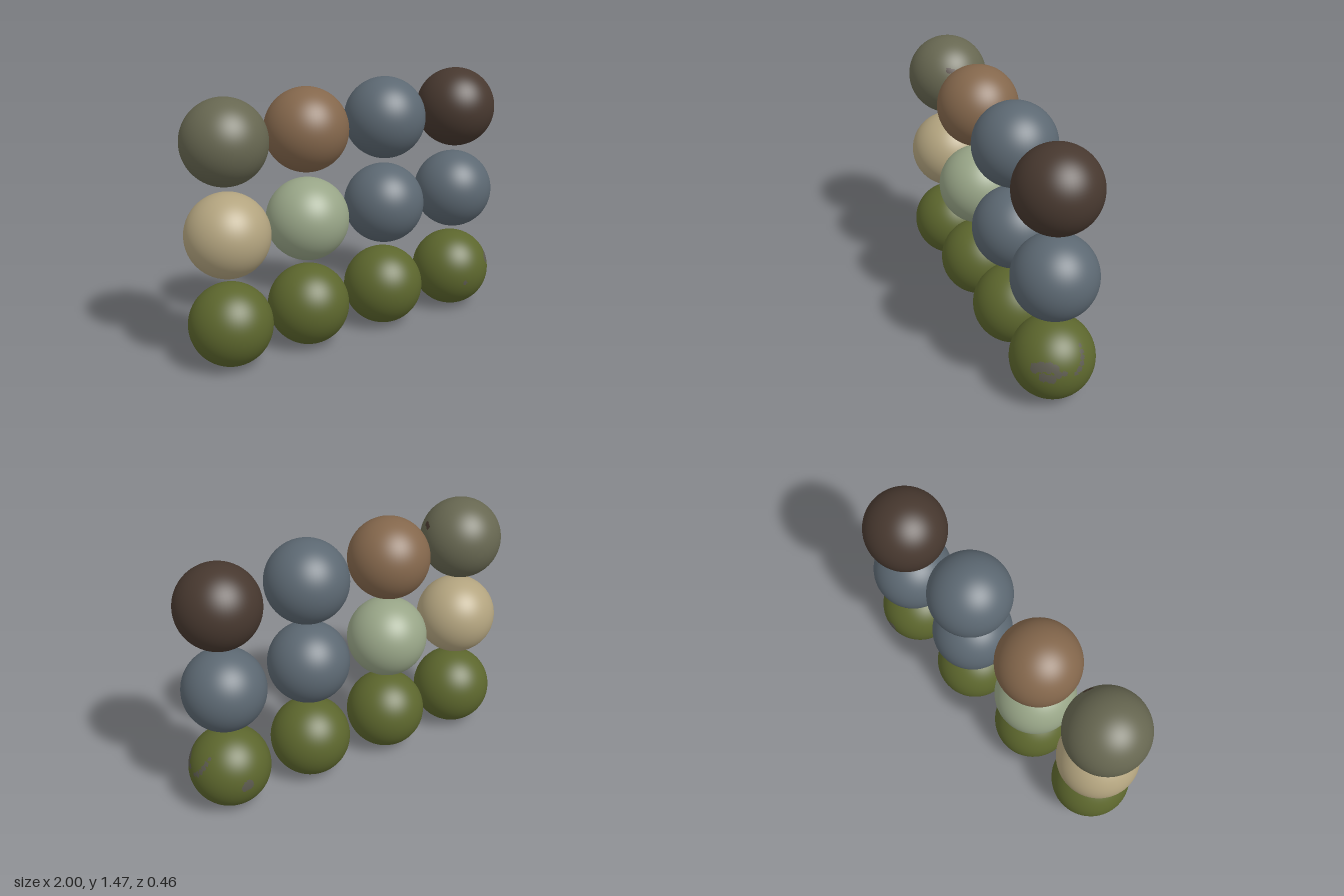
import * as THREE from 'three';

const R = 0.231;

function mat(name, color) {
  const m = new THREE.MeshStandardMaterial({ color });
  m.name = name;
  return m;
}

// Sphere whose faces are sorted into a base group and a blotch group.
// Each blotch is [x, y, z, radius], with the point pushed onto the surface.
function blotchedSphere(blotches) {
  const geo = new THREE.SphereGeometry(R, 160, 100);
  const spots = blotches.map(([x, y, z, r]) => ({ c: new THREE.Vector3(x, y, z).setLength(R), r }));
  const pos = geo.attributes.position;
  const index = geo.index.array;
  const sorted = [[], []];
  const mid = new THREE.Vector3();
  const v = new THREE.Vector3();
  for (let i = 0; i < index.length; i += 3) {
    mid.set(0, 0, 0);
    for (let k = 0; k < 3; k++) mid.add(v.fromBufferAttribute(pos, index[i + k]));
    mid.divideScalar(3);
    const inside = spots.some((s) => s.c.distanceTo(mid) < s.r);
    sorted[inside ? 1 : 0].push(index[i], index[i + 1], index[i + 2]);
  }
  geo.setIndex([...sorted[0], ...sorted[1]]);
  geo.clearGroups();
  geo.addGroup(0, sorted[0].length, 0);
  geo.addGroup(sorted[0].length, sorted[1].length, 1);
  return geo;
}

export function createModel() {
  const group = new THREE.Group();
  group.name = 'sphereGrid';

  const moss = mat('mossGreen', 0x5c662d);
  const stone = mat('stoneGrey', 0x5d5b50);
  const sand = mat('sand', 0xb3a47f);
  const sage = mat('sageGreen', 0x98a587);
  const slate = mat('slateBlue', 0x5c6872);
  const olive = mat('oliveGrey', 0x676751);
  const clay = mat('clayBrown', 0x84674c);
  const bark = mat('darkBark', 0x47382f);

  // Rows from bottom to top, columns from -x to +x
  const columns = [-0.769, -0.273, 0.25, 0.769];
  const rows = [
    { name: 'lower', y: 0.234, mats: [moss, moss, moss, moss] },
    { name: 'middle', y: 0.742, mats: [sand, sage, slate, slate] },
    { name: 'upper', y: 1.246, mats: [olive, clay, slate, bark] },
  ];

  // Stone showing through the moss on the last lower sphere
  const mossBlotches = [
    [0.14, 0.07, 0.165, 0.028], [0.16, 0.085, 0.14, 0.028],
    [0.18, 0.085, 0.105, 0.03], [0.195, 0.08, 0.08, 0.024],
    [0.18, 0.03, 0.135, 0.026], [0.2, 0.025, 0.1, 0.028],
    [0.215, 0.05, 0.065, 0.02], [0.22, 0.053, 0.035, 0.015],
    [0.15, 0.15, -0.08, 0.012], [0.17, 0.125, -0.08, 0.014],
    [0.185, 0.1, -0.076, 0.016], [0.2, 0.075, -0.068, 0.016],
    [0.21, 0.052, -0.05, 0.016], [0.22, 0.038, -0.028, 0.013],
    [0, 0.01, -0.228, 0.032], [0.02, -0.005, -0.228, 0.022],
    [0.154, -0.141, -0.103, 0.012], [-0.06, -0.03, 0.22, 0.014],
  ];
  // Dark fleck on the first upper sphere
  const oliveBlotches = [[0.195, 0.103, 0.062, 0.018], [0.205, 0.098, 0.04, 0.016]];

  const plain = new THREE.SphereGeometry(R, 64, 40);
  rows.forEach((row, r) => {
    columns.forEach((x, c) => {
      let geo = plain;
      let material = row.mats[c];
      if (r === 0 && c === 3) {
        geo = blotchedSphere(mossBlotches);
        material = [moss, stone];
      } else if (r === 2 && c === 0) {
        geo = blotchedSphere(oliveBlotches);
        material = [olive, bark];
      }
      const ball = new THREE.Mesh(geo, material);
      ball.name = `${row.name}Sphere${c + 1}`;
      ball.position.set(x, row.y, 0);
      group.add(ball);
    });
  });

  return group;
}
